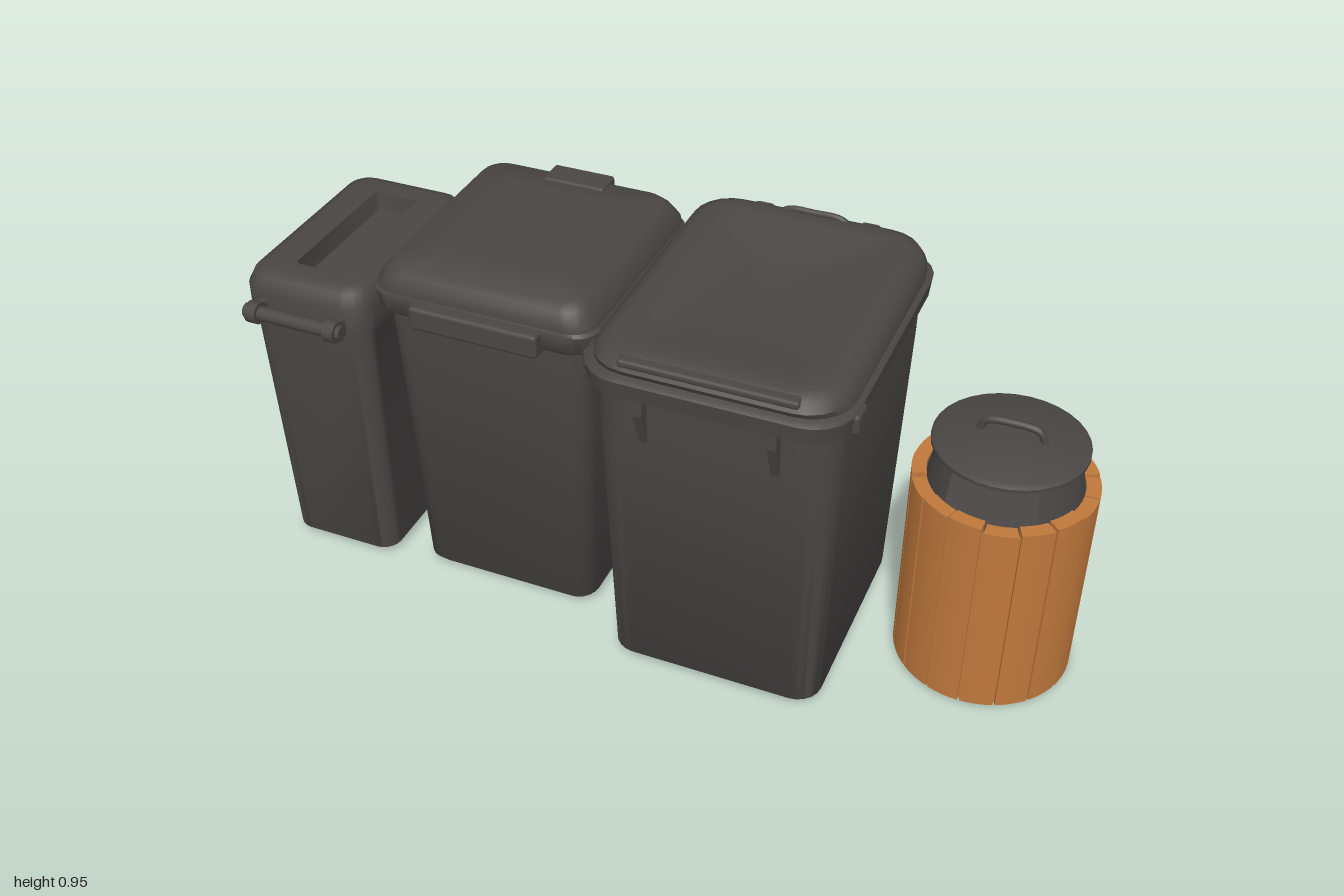
import * as THREE from 'three';
import { toCreasedNormals } from 'three/addons/utils/BufferGeometryUtils.js';
import { RoundedBoxGeometry } from 'three/addons/geometries/RoundedBoxGeometry.js';

const plastic = new THREE.MeshStandardMaterial({ color: 0x4a4646 });
plastic.name = 'charcoal plastic';
const wood = new THREE.MeshStandardMaterial({ color: 0xbf783c });
wood.name = 'warm wood';
const metal = new THREE.MeshStandardMaterial({ color: 0x4a4646, side: THREE.DoubleSide });
metal.name = 'charcoal sheet';

function add(parent, name, geometry, material, x = 0, y = 0, z = 0) {
  const mesh = new THREE.Mesh(geometry, material);
  mesh.name = name;
  mesh.position.set(x, y, z);
  parent.add(mesh);
  return mesh;
}

// Stack of rounded rectangles [y, halfWidth, halfDepth, cornerRadius, slopeAlongZ], capped at both ends
function loft(sections) {
  const pos = [], idx = [], steps = 5, n = 4 * (steps + 1);
  for (const [y, w, d, r, slope = 0] of sections) {
    for (let c = 0; c < 4; c++) {
      const sx = c === 0 || c === 3 ? 1 : -1, sz = c < 2 ? 1 : -1;
      for (let s = 0; s <= steps; s++) {
        const a = (c + s / steps) * Math.PI / 2;
        const z = sz * (d - r) + r * Math.sin(a);
        pos.push(sx * (w - r) + r * Math.cos(a), y + slope * z, z);
      }
    }
  }
  const last = sections.length - 1;
  for (let k = 0; k < last; k++) {
    for (let i = 0; i < n; i++) {
      const a = k * n + i, b = k * n + (i + 1) % n;
      idx.push(a, a + n, b, b, a + n, b + n);
    }
  }
  const base = pos.length / 3, top = last * n;
  pos.push(0, sections[0][0], 0, 0, sections[last][0], 0);
  for (let i = 0; i < n; i++) {
    const j = (i + 1) % n;
    idx.push(base, i, j, base + 1, top + j, top + i);
  }
  const g = new THREE.BufferGeometry();
  g.setAttribute('position', new THREE.Float32BufferAttribute(pos, 3));
  g.setIndex(idx);
  return toCreasedNormals(g, 0.8);
}

const rod = (r, length) => new THREE.CylinderGeometry(r, r, length, 12).rotateZ(Math.PI / 2);
const box = (w, h, d, r = 0.01) => new RoundedBoxGeometry(w, h, d, 2, r);

// Slim bin with a slot in its lid and a bar handle at each end
function slimBin() {
  const g = new THREE.Group();
  g.name = 'slimBin';
  g.position.set(-0.837, 0, -0.04);
  add(g, 'slimBody', loft([
    [0.01, 0.13, 0.225, 0.04], [0.025, 0.145, 0.24, 0.045], [0.7, 0.158, 0.262, 0.05],
    [0.705, 0.163, 0.27, 0.05], [0.775, 0.163, 0.272, 0.055], [0.805, 0.15, 0.255, 0.05],
    [0.815, 0.125, 0.23, 0.04], [0.812, 0.06, 0.185, 0.015], [0.765, 0.054, 0.178, 0.012]]), plastic);
  for (const s of [-1, 1]) {
    add(g, 'barHandle', rod(0.018, 0.26), plastic, 0, 0.735, s * 0.305);
    for (const x of [-0.105, 0.105]) {
      add(g, 'handleKnob', rod(0.027, 0.028), plastic, x, 0.735, s * 0.305);
      add(g, 'handleBracket', box(0.025, 0.035, 0.06), plastic, x, 0.735, s * 0.282);
    }
  }
  return g;
}

// Medium bin with a domed lid and a front grip
function mediumBin() {
  const g = new THREE.Group();
  g.name = 'mediumBin';
  g.position.set(-0.373, 0, -0.065);
  add(g, 'mediumBody', loft([
    [0.01, 0.215, 0.225, 0.04], [0.03, 0.232, 0.242, 0.05],
    [0.79, 0.253, 0.272, 0.055], [0.8, 0.253, 0.272, 0.055]]), plastic);
  add(g, 'mediumRim', loft([
    [0.787, 0.262, 0.276, 0.06], [0.8, 0.276, 0.288, 0.06],
    [0.845, 0.28, 0.294, 0.06], [0.855, 0.272, 0.288, 0.06]]), plastic);
  add(g, 'mediumLid', loft([
    [0.845, 0.274, 0.29, 0.06], [0.865, 0.272, 0.29, 0.06], [0.895, 0.252, 0.275, 0.055],
    [0.912, 0.235, 0.258, 0.05], [0.915, 0.15, 0.17, 0.03]]), plastic);
  add(g, 'frontGrip', box(0.32, 0.06, 0.05), plastic, 0, 0.815, 0.295);
  add(g, 'lidTab', box(0.16, 0.03, 0.075, 0.008), plastic, 0, 0.905, -0.25);
  for (const x of [-0.2, 0.2]) {
    add(g, 'rimLug', box(0.05, 0.035, 0.04), plastic, x, 0.83, -0.275);
    add(g, 'rimEar', box(0.05, 0.04, 0.06), plastic, x * 1.28, 0.83, 0.22);
  }
  return g;
}

// Large bin with a sloping, slightly dished lid and a rear wire loop
function largeBin() {
  const g = new THREE.Group();
  g.name = 'largeBin';
  g.position.set(0.225, 0, 0);
  add(g, 'largeBody', loft([
    [0.01, 0.24, 0.28, 0.05], [0.03, 0.258, 0.3, 0.06],
    [0.72, 0.278, 0.333, 0.075], [0.83, 0.28, 0.335, 0.08]]), plastic);
  add(g, 'largeRim', loft([
    [0.82, 0.284, 0.35, 0.09], [0.83, 0.298, 0.365, 0.1],
    [0.87, 0.302, 0.37, 0.1], [0.878, 0.294, 0.36, 0.1]]), plastic);
  add(g, 'largeLid', loft([
    [0.872, 0.292, 0.345, 0.1], [0.9, 0.286, 0.358, 0.1, -0.02], [0.922, 0.27, 0.345, 0.09, -0.03],
    [0.933, 0.245, 0.32, 0.08, -0.033], [0.933, 0.2, 0.28, 0.05, -0.03],
    [0.922, 0.175, 0.25, 0.04, -0.02]]), plastic);
  // Wire loop standing on the lid
  const loop = new THREE.CatmullRomCurve3([[-0.1, 0.915], [-0.065, 0.943], [0, 0.946], [0.065, 0.943], [0.1, 0.915]]
    .map(([x, y]) => new THREE.Vector3(x, y, -0.325)));
  add(g, 'lidLoop', new THREE.TubeGeometry(loop, 20, 0.008, 8), plastic);
  add(g, 'frontLip', box(0.4, 0.02, 0.04, 0.008), plastic, 0, 0.908, 0.335);
  // Triangular ribs below the front rim
  const rib = new THREE.Shape([[0, 0], [0, -0.14], [0.035, -0.04], [0.035, 0]].map(p => new THREE.Vector2(...p)));
  const ribGeometry = new THREE.ExtrudeGeometry(rib, { depth: 0.02, bevelEnabled: false }).rotateY(-Math.PI / 2);
  for (const s of [-1, 1]) {
    add(g, 'frontRib', ribGeometry, plastic, s * 0.15 + 0.01, 0.83, 0.328);
    add(g, 'rearLug', box(0.06, 0.045, 0.05), plastic, s * 0.15, 0.725, -0.345);
    add(g, 'rearHinge', box(0.05, 0.07, 0.04), plastic, s * 0.13, 0.9, -0.335);
    add(g, 'rimEar', box(0.05, 0.05, 0.06), plastic, s * 0.285, 0.845, 0.26);
  }
  return g;
}

// Round litter bin clad in wooden staves, with a raised metal hood
function roundBin() {
  const g = new THREE.Group();
  g.name = 'roundBin';
  g.position.set(0.785, 0, -0.08);
  const count = 16, step = Math.PI * 2 / count, gap = 0.012;
  for (let i = 0; i < count; i++) {
    const a = i * step + gap, b = (i + 1) * step - gap, stave = new THREE.Shape();
    stave.absarc(0, 0, 0.212, a, b, false);
    stave.absarc(0, 0, 0.178, b, a, true);
    const geometry = new THREE.ExtrudeGeometry(stave, { depth: 0.515 + 0.004 * (i % 3), bevelEnabled: false, curveSegments: 4 });
    add(g, 'woodStave', toCreasedNormals(geometry.rotateX(-Math.PI / 2), 0.6), wood, 0, 0.008, 0);
  }
  add(g, 'woodCore', new THREE.CylinderGeometry(0.204, 0.204, 0.51, 48, 1, true), wood, 0, 0.265, 0);
  add(g, 'liner', new THREE.CylinderGeometry(0.18, 0.18, 0.5, 40), plastic, 0, 0.27, 0);
  add(g, 'basePlate', new THREE.CylinderGeometry(0.2, 0.195, 0.012, 40), plastic, 0, 0.006, 0);
  // Curved side panels leave the front and back open
  const arc = 1.88;
  for (const centre of [Math.PI / 2, -Math.PI / 2]) {
    add(g, 'hoodPanel', new THREE.CylinderGeometry(0.16, 0.177, 0.1, 16, 1, true, centre - arc / 2, arc), metal, 0, 0.565, 0);
  }
  const lidProfile = [[0, 0.61], [0.165, 0.61], [0.177, 0.617], [0.177, 0.626], [0.165, 0.633], [0.05, 0.643], [0, 0.644]];
  add(g, 'hoodLid', toCreasedNormals(new THREE.LatheGeometry(lidProfile.map(p => new THREE.Vector2(...p)), 32), 0.6), metal);
  const grip = new THREE.CatmullRomCurve3([[-0.075, 0.635], [-0.06, 0.665], [0, 0.673], [0.06, 0.665], [0.075, 0.635]]
    .map(([x, y]) => new THREE.Vector3(x, y, 0)));
  add(g, 'lidGrip', new THREE.TubeGeometry(grip, 20, 0.009, 8), plastic);
  return g;
}

export function createModel() {
  const model = new THREE.Group();
  model.name = 'binRow';
  model.add(slimBin(), mediumBin(), largeBin(), roundBin());
  return model;
}
